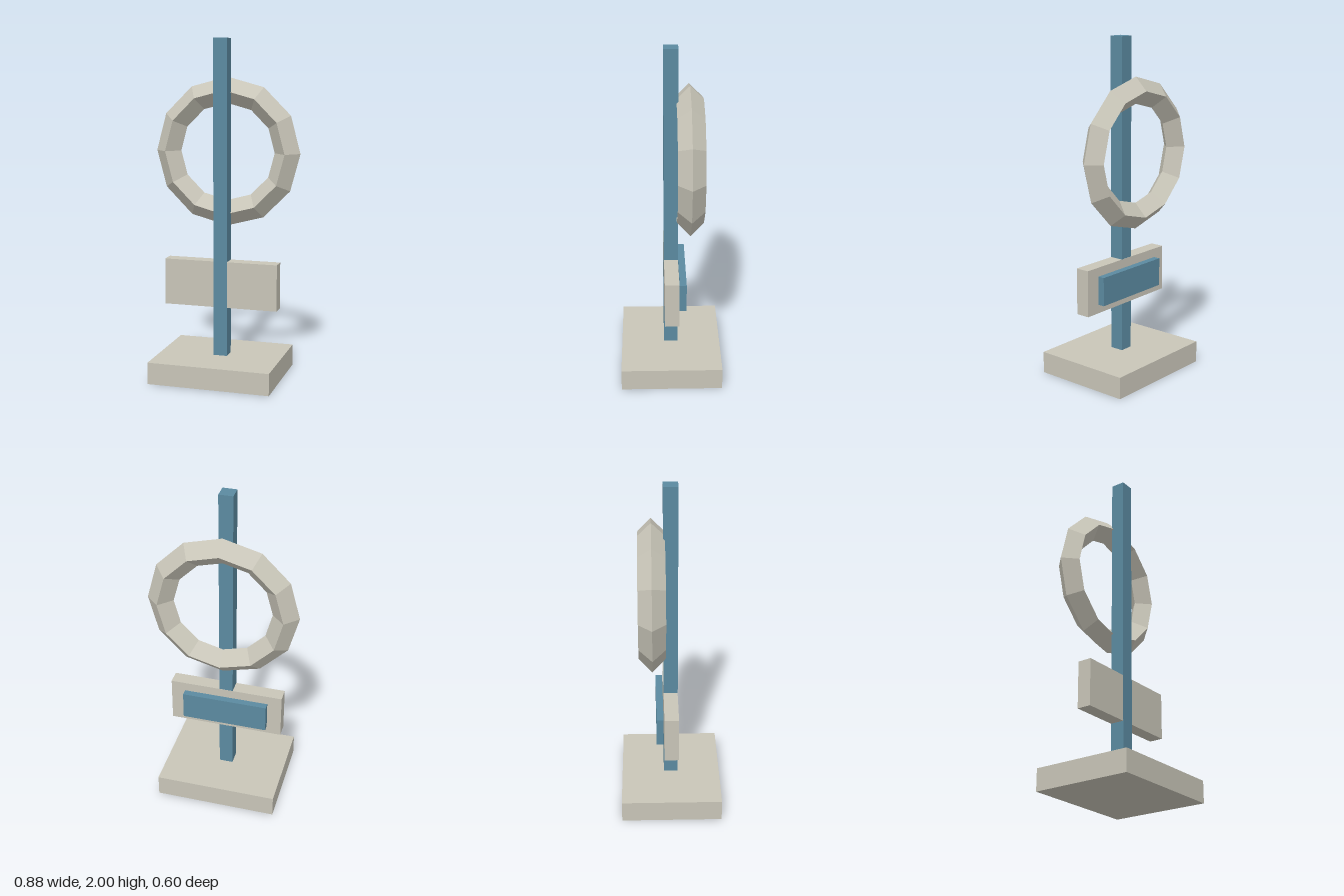
import * as THREE from 'three';

export function createModel() {
  const model = new THREE.Group();
  model.name = 'ringStand';

  const stone = new THREE.MeshStandardMaterial({ color: 0xc8c5b8 });
  stone.name = 'warm grey';
  const blue = new THREE.MeshStandardMaterial({ color: 0x5b8aa0 });
  blue.name = 'slate blue';

  function add(name, geometry, material, x, y, z) {
    const mesh = new THREE.Mesh(geometry, material);
    mesh.name = name;
    mesh.position.set(x, y, z);
    model.add(mesh);
  }
  const box = (w, h, d) => new THREE.BoxGeometry(w, h, d);

  // Foot and upright
  add('base', box(0.73, 0.13, 0.6), stone, 0, 0.065, 0);
  add('post', box(0.083, 1.87, 0.084), blue, 0, 1.065, 0);

  // Crossboard, set a hair back so the post stays visible in front
  add('crossboard', box(0.686, 0.276, 0.084), stone, 0, 0.562, -0.001);
  add('backPlaque', box(0.515, 0.17, 0.041), blue, 0, 0.563, -0.0675);

  // Faceted ring with a diamond section; toNonIndexed gives flat facets
  const ring = new THREE.TorusGeometry(0.365, 0.077, 4, 12).toNonIndexed();
  ring.computeVertexNormals();
  add('ring', ring, stone, 0, 1.335, -0.109);

  return model;
}
